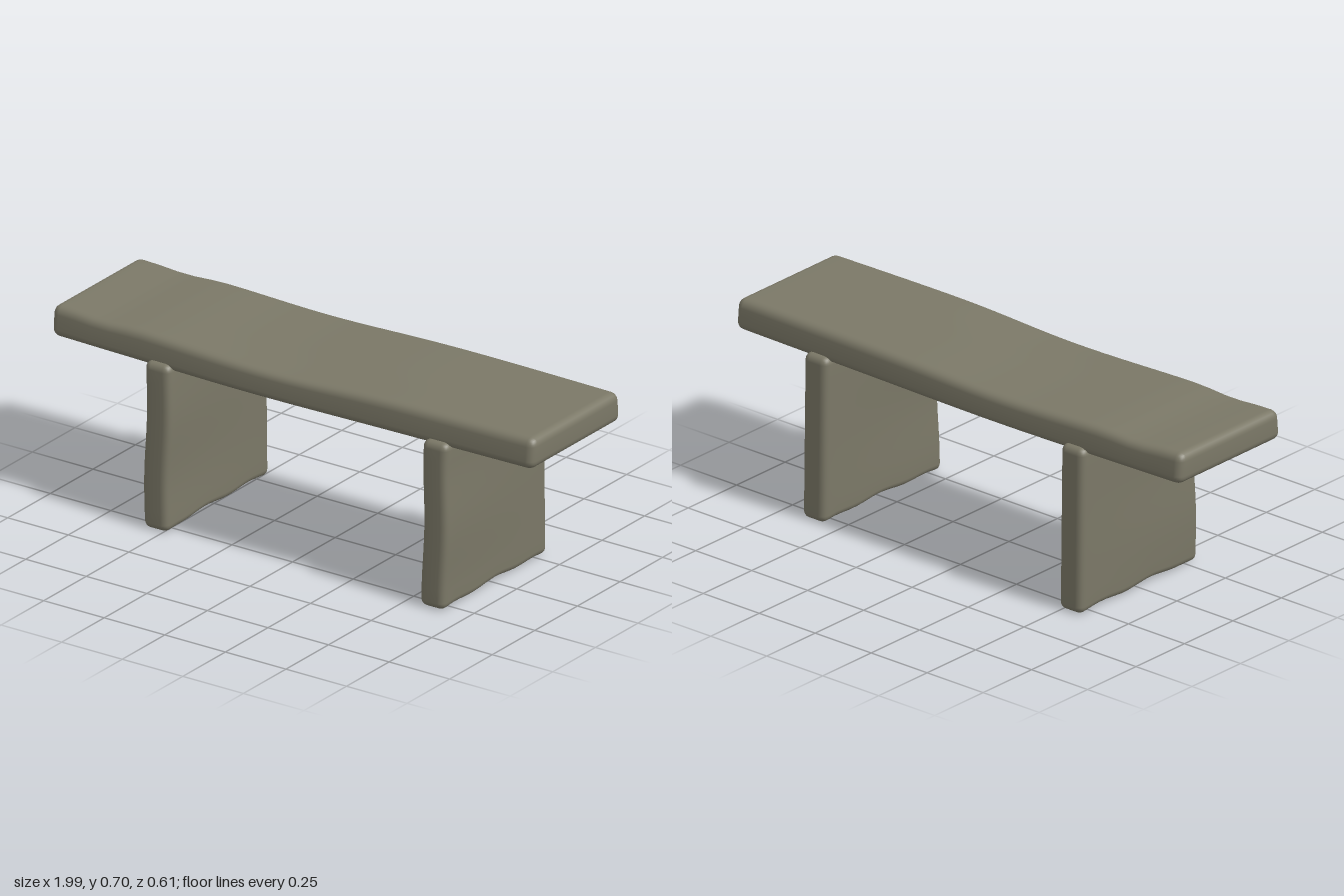
import * as THREE from 'three';
import { mergeVertices } from 'three/addons/utils/BufferGeometryUtils.js';

const EDGE = 3; // segments spent on each rounded edge

// Softly rounded block with a subdivided body, bent by warp(point, unit position).
function stoneBlock(size, radius, segs, warp) {
  const geo = new THREE.BoxGeometry(2, 2, 2, ...segs.map(n => n + 2 * EDGE));
  geo.deleteAttribute('uv');
  geo.deleteAttribute('normal');
  const pos = geo.attributes.position;
  const p = new THREE.Vector3(), inner = new THREE.Vector3();
  for (let i = 0; i < pos.count; i++) {
    p.fromBufferAttribute(pos, i);
    for (let a = 0; a < 3; a++) {
      const half = size[a] / 2, flat = half - radius, n = segs[a] + 2 * EDGE;
      const k = Math.round((p.getComponent(a) + 1) / 2 * n); // grid index
      let c;
      if (k < EDGE) c = -half + radius * k / EDGE;
      else if (k > n - EDGE) c = half - radius * (n - k) / EDGE;
      else c = -flat + 2 * flat * (k - EDGE) / segs[a];
      p.setComponent(a, c);
      inner.setComponent(a, THREE.MathUtils.clamp(c, -flat, flat));
    }
    p.sub(inner).setLength(radius).add(inner);
    const u = new THREE.Vector3(p.x / size[0], p.y / size[1], p.z / size[2]).multiplyScalar(2);
    warp(p, u);
    pos.setXYZ(i, p.x, p.y, p.z);
  }
  const smooth = mergeVertices(geo, 1e-5);
  smooth.computeVertexNormals();
  return smooth;
}

const dip = (v, centre, width) => Math.exp(-(((v - centre) / width) ** 2));

export function createModel() {
  const model = new THREE.Group();
  const stone = new THREE.MeshStandardMaterial({ color: 0x7b7867 });
  stone.name = 'weathered stone';
  const add = (name, geo, x, y) => {
    const mesh = new THREE.Mesh(geo, stone);
    mesh.name = name;
    mesh.position.set(x, y, 0);
    model.add(mesh);
  };

  // Seat slab: worn hollow along the top, slightly bowed sides, narrower top
  const seat = stoneBlock([1.99, 0.112, 0.52], 0.03, [28, 2, 10], (p, u) => {
    const x = p.x, top = (u.y + 1) / 2;
    p.z *= 1 + 0.045 * (1 - u.x * u.x) - 0.02 * u.y;
    p.z -= 0.005;
    p.y -= top * (0.016 * dip(x, -0.2, 0.36) + 0.01 * dip(x, -0.79, 0.1));
    p.y -= (1 - top) * 0.007 * dip(x, -0.2, 0.5);
    p.y -= top * 0.008 * dip(x, 0.05, 0.25) * dip(p.z, 0.2, 0.12);
  });
  add('seat', seat, 0, 0.644);

  // Upright slab legs with uneven feet
  for (const [name, x, phase] of [['rightLeg', -0.535, 0], ['leftLeg', 0.612, 1.7]]) {
    const leg = stoneBlock([0.104, 0.61, 0.59], 0.027, [2, 12, 14], (p, u) => {
      const low = (1 - u.y) / 2;
      const foot = low ** 6;
      p.z *= 1 + 0.03 * low;
      p.z += u.z > 0 ? -0.006 * (1 - low) : -0.004;
      p.x += 0.004 * Math.sin(u.y * 4 + phase) * (0.5 + 0.5 * u.z);
      p.y += foot * (0.009 * (1 - u.z ** 4) + 0.006 * Math.sin(u.z * 7 + phase) * (1 - u.z ** 2));
    });
    add(name, leg, x, 0.305);
  }
  return model;
}
